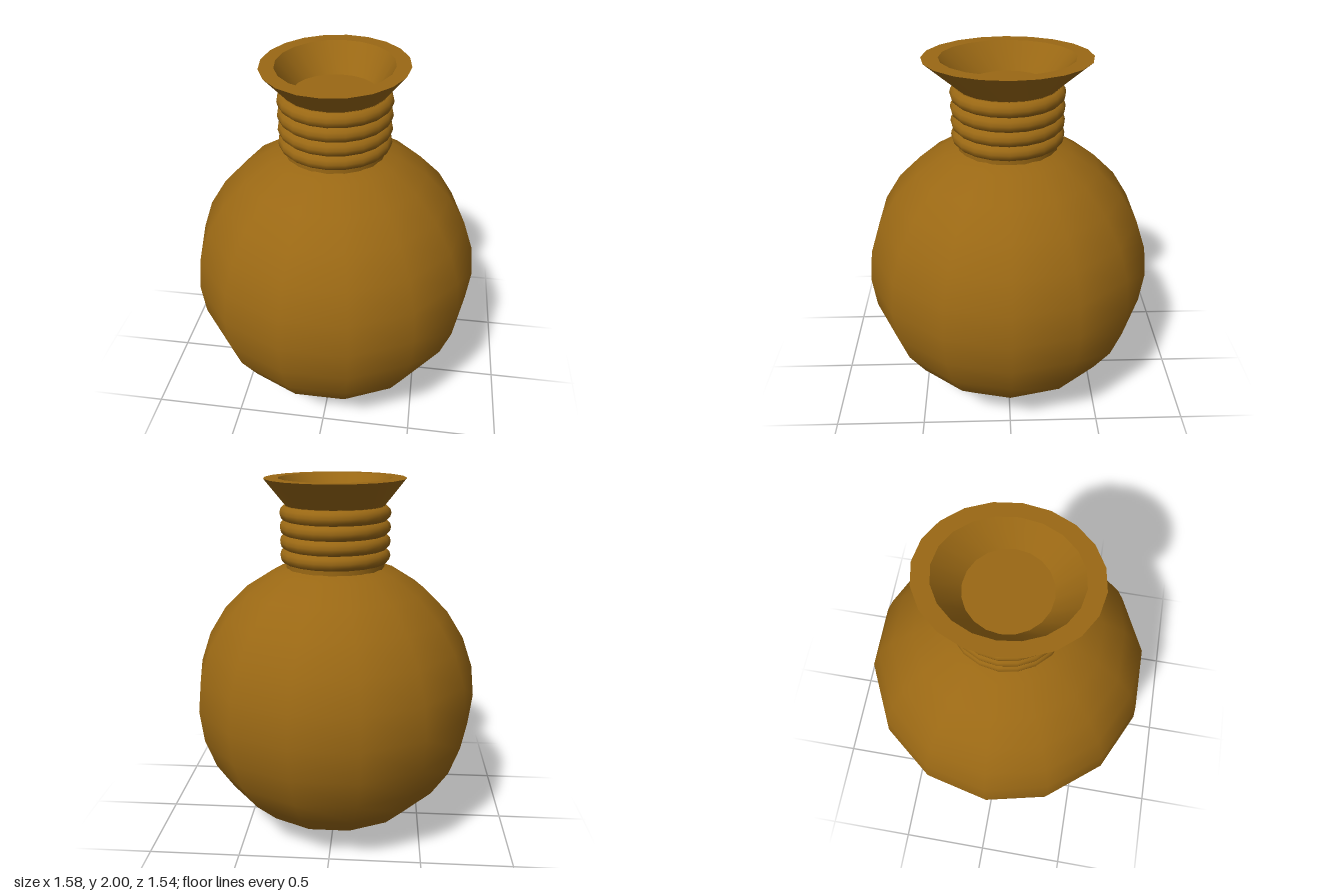
import * as THREE from 'three';
import { toCreasedNormals } from 'three/addons/utils/BufferGeometryUtils.js';

export function createModel() {
  const group = new THREE.Group();
  const material = new THREE.MeshStandardMaterial({ color: 0x9a6814 });
  const SIDES = 20;

  function add(name, geometry, y = 0) {
    const mesh = new THREE.Mesh(geometry, material);
    mesh.name = name;
    mesh.position.y = y;
    group.add(mesh);
    return mesh;
  }

  // Round flask body
  add('body', new THREE.SphereGeometry(0.79, 14, 14), 0.795);

  // Neck; its flat top is the floor of the mouth
  const neckBottom = 1.5, neckTop = 1.86;
  add('neck', new THREE.CylinderGeometry(0.267, 0.267, neckTop - neckBottom, SIDES),
    (neckTop + neckBottom) / 2);

  // Stacked rings around the neck
  for (let i = 0; i < 4; i++) {
    const ring = new THREE.TorusGeometry(0.257, 0.041, 12, SIDES);
    ring.rotateX(Math.PI / 2);
    add('neckRing' + (i + 1), ring, 1.595 + i * 0.075);
  }

  // Flared lip: round at the neck, widening to an oval at the rim
  const profile = [[0.265, neckTop], [0.375, 2], [0.3, 2], [0.215, neckTop]]
    .map(([r, y]) => new THREE.Vector2(r, y));
  const lip = new THREE.LatheGeometry(profile, SIDES);
  const p = lip.attributes.position;
  for (let i = 0; i < p.count; i++) {
    const t = (p.getY(i) - neckTop) / (2 - neckTop);
    p.setZ(i, p.getZ(i) * (1 + 0.155 * t));
  }
  add('lip', toCreasedNormals(lip, 0.6));

  return group;
}
